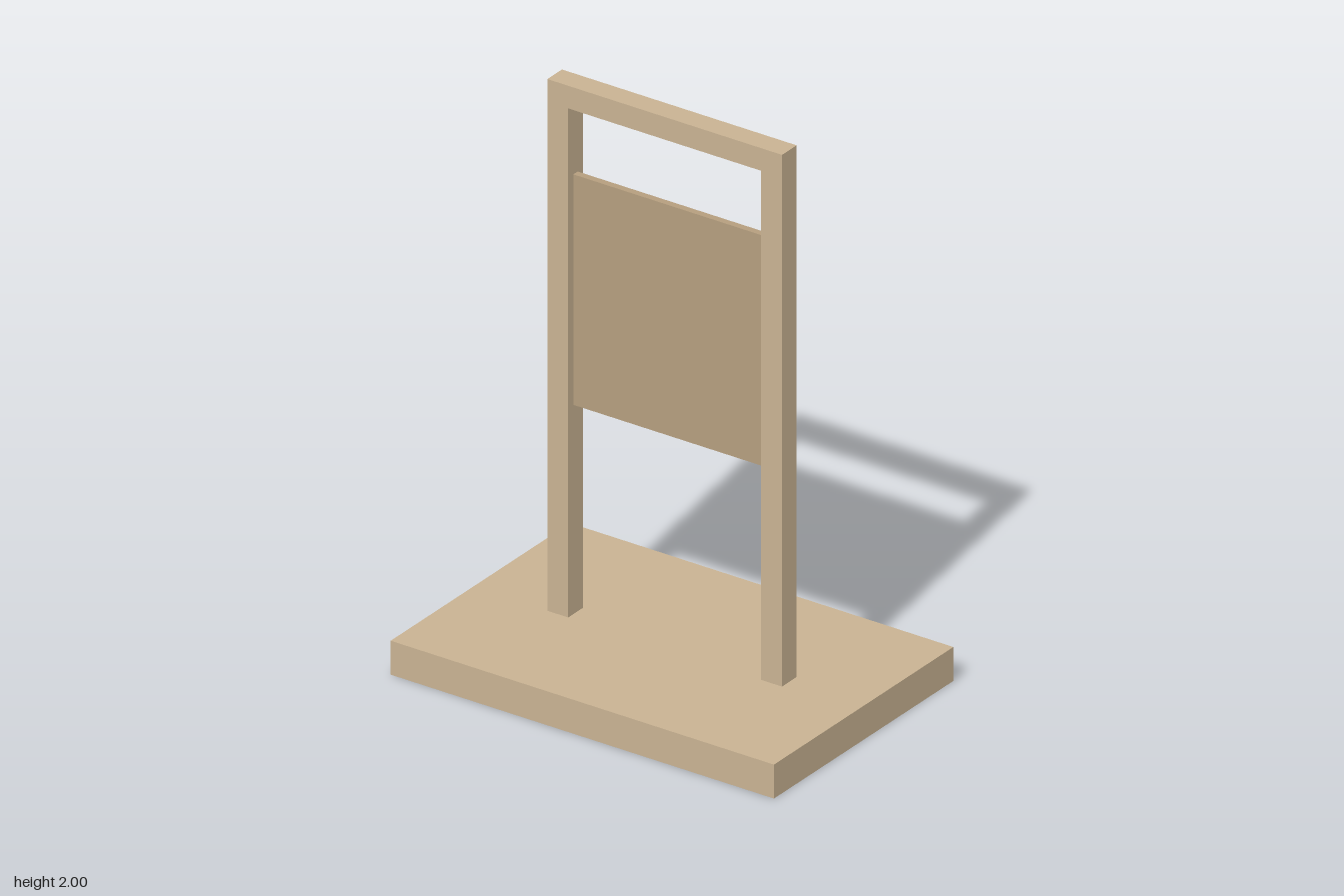
import * as THREE from 'three';

const wood = new THREE.MeshStandardMaterial({ color: 0xc8b292 });
const board = new THREE.MeshStandardMaterial({ color: 0xb59e7e });

function addMesh(group, name, geometry, material, y) {
  const mesh = new THREE.Mesh(geometry, material);
  mesh.name = name;
  mesh.position.y = y;
  group.add(mesh);
}

export function createModel() {
  const model = new THREE.Group();
  model.name = 'standingSign';

  // Heavy slab base
  const baseHeight = 0.12;
  addMesh(model, 'base', new THREE.BoxGeometry(1.47, baseHeight, 0.98), wood, baseHeight / 2);

  // One-piece frame: two posts joined by a top rail
  const outer = 0.45, inner = 0.37, top = 2, railBottom = 1.92, depth = 0.08;
  const outline = new THREE.Shape([
    [-outer, baseHeight], [-inner, baseHeight], [-inner, railBottom], [inner, railBottom],
    [inner, baseHeight], [outer, baseHeight], [outer, top], [-outer, top],
  ].map(([x, y]) => new THREE.Vector2(x, y)));
  const frame = new THREE.ExtrudeGeometry(outline, { depth, bevelEnabled: false });
  frame.translate(0, 0, -depth / 2);
  addMesh(model, 'frame', frame, wood, 0);

  // Thin panel held between the posts
  const panelBottom = 0.86, panelTop = 1.675;
  addMesh(model, 'panel', new THREE.BoxGeometry(inner * 2, panelTop - panelBottom, 0.024),
    board, (panelBottom + panelTop) / 2);

  return model;
}
